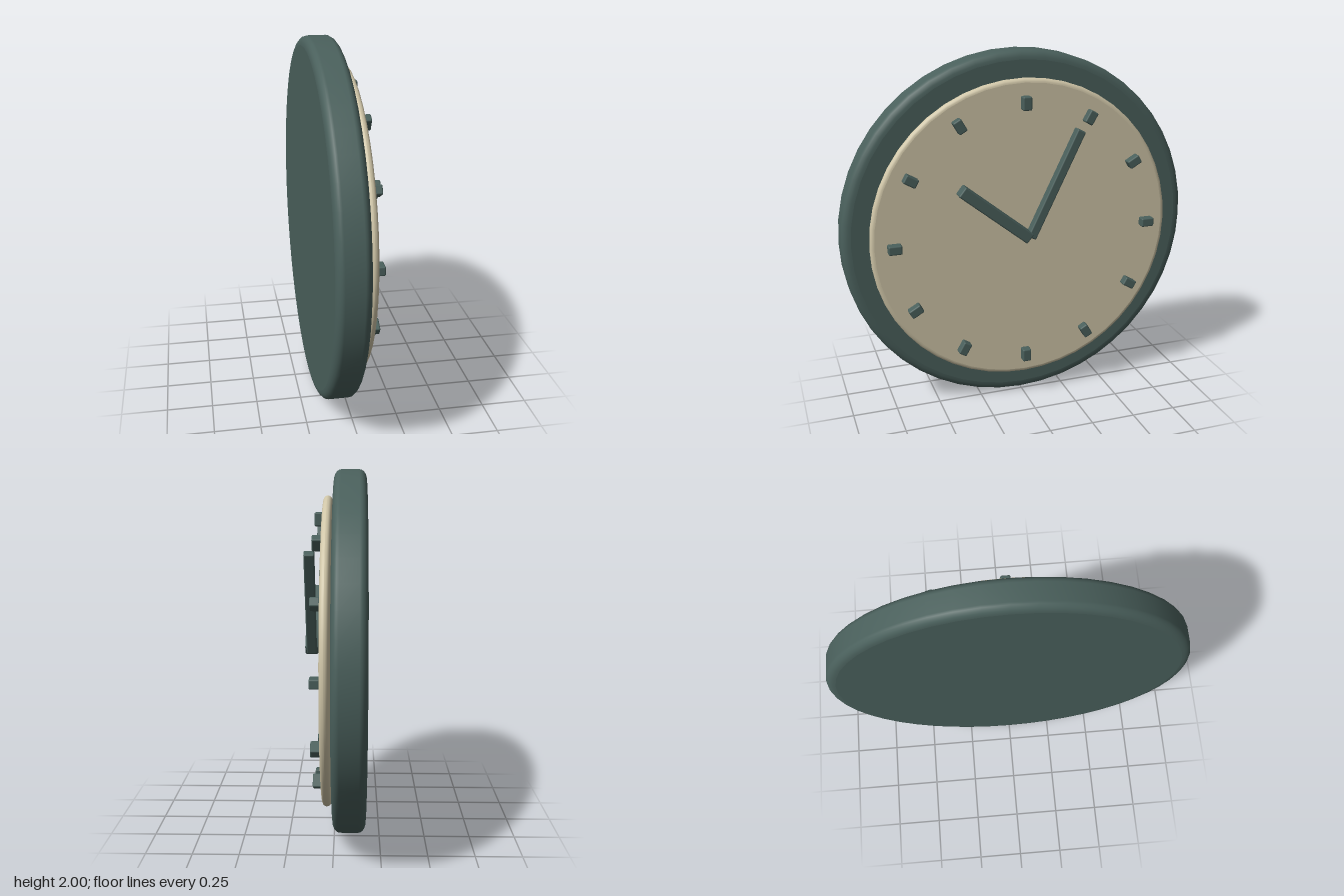
import * as THREE from 'three';
import { RoundedBoxGeometry } from 'three/addons/geometries/RoundedBoxGeometry.js';

const green = new THREE.MeshStandardMaterial({ color: 0x4a605c });
const cream = new THREE.MeshStandardMaterial({ color: 0xd0c6a8 });

// Solid disc around the x axis, from x0 to x1, with its rim rounded by rx (depth) and rr (radius).
function disc(name, material, radius, x0, x1, rx, rr) {
  const rim = [];
  const steps = 5;
  for (let i = 0; i <= steps; i++) {
    const a = (i / steps) * Math.PI / 2;
    rim.push(new THREE.Vector2(radius - rr * (1 - Math.sin(a)), x0 + rx * (1 - Math.cos(a))));
  }
  for (let i = 0; i <= steps; i++) {
    const a = (i / steps) * Math.PI / 2;
    rim.push(new THREE.Vector2(radius - rr * (1 - Math.cos(a)), x1 - rx * (1 - Math.sin(a))));
  }
  // doubled points keep the flat faces crisp
  const profile = [
    new THREE.Vector2(0, x0), rim[0].clone(), ...rim,
    rim[rim.length - 1].clone(), new THREE.Vector2(0, x1),
  ];
  const geometry = new THREE.LatheGeometry(profile, 48);
  geometry.rotateZ(-Math.PI / 2);
  const mesh = new THREE.Mesh(geometry, material);
  mesh.name = name;
  mesh.position.y = 1;
  return mesh;
}

// Bar lying on the dial: turned by angle from 12 o'clock, between radii r0 and r1.
function bar(name, angle, r0, r1, width, x0, x1) {
  const geometry = new RoundedBoxGeometry(x1 - x0, r1 - r0, width, 2, 0.008);
  geometry.translate((x0 + x1) / 2, (r0 + r1) / 2, 0);
  const mesh = new THREE.Mesh(geometry, green);
  mesh.name = name;
  mesh.rotation.x = angle;
  mesh.position.y = 1;
  return mesh;
}

export function createModel() {
  const clock = new THREE.Group();
  clock.name = 'wallClock';

  // Case and dial, facing +x
  clock.add(disc('case', green, 1, -0.17, 0.005, 0.04, 0.05));
  clock.add(disc('dial', cream, 0.86, 0.015, 0.062, 0.023, 0.023));

  // Twelve hour marks
  const marks = new THREE.Group();
  marks.name = 'hourMarks';
  for (let i = 0; i < 12; i++) {
    marks.add(bar('hourMark', (i * Math.PI) / 6, 0.696, 0.77, 0.05, 0.06, 0.112));
  }
  clock.add(marks);

  // Hands
  const hour = bar('hourHand', THREE.MathUtils.degToRad(51.3), 0, 0.485, 0.064, 0.095, 0.168);
  const minute = bar('minuteHand', THREE.MathUtils.degToRad(-26), 0, 0.645, 0.05, 0.102, 0.158);
  minute.position.z = -0.01;
  clock.add(hour, minute);

  return clock;
}
